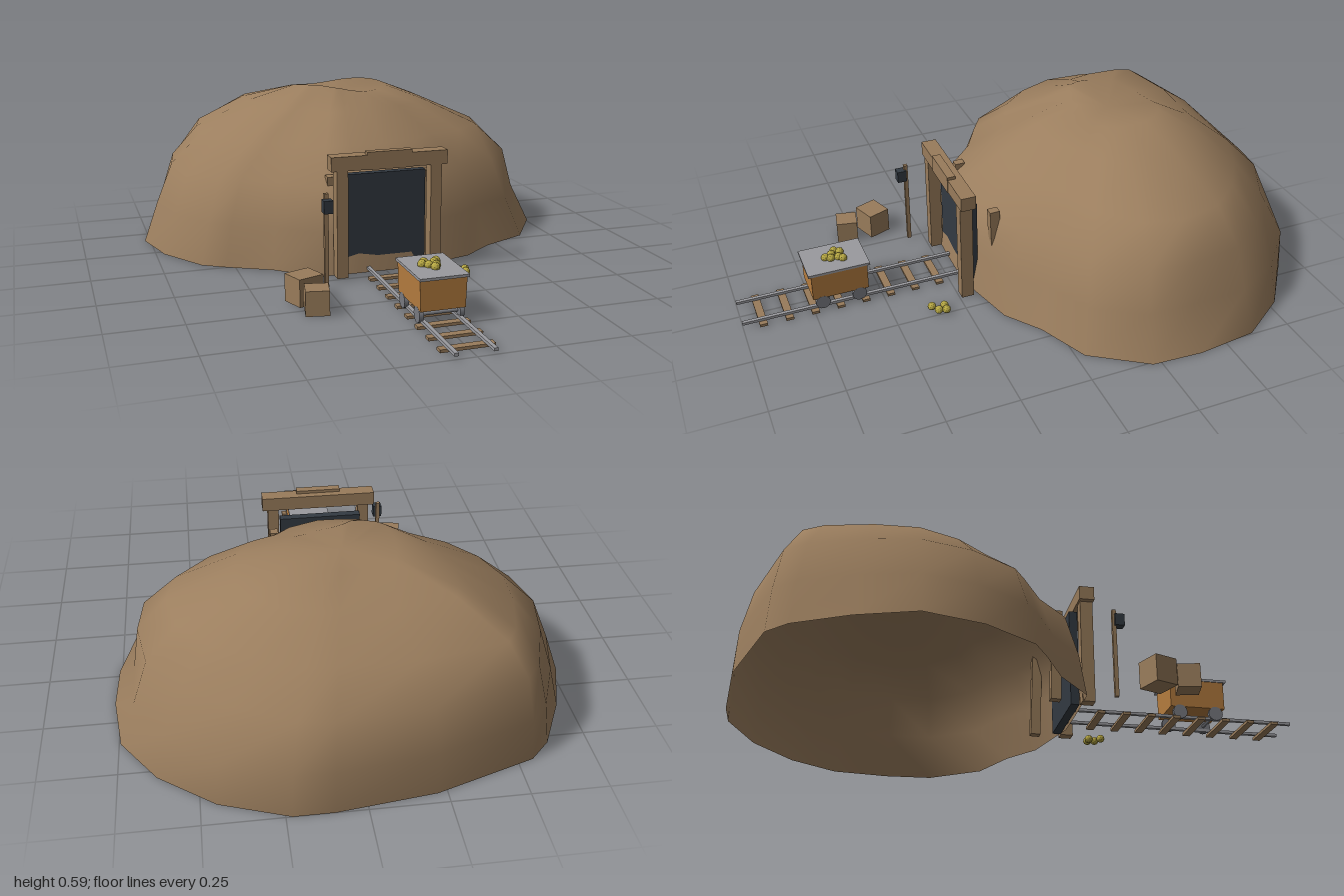
import * as THREE from 'three';

const mat = (name, color, extra = {}) => Object.assign(new THREE.MeshStandardMaterial({ color, ...extra }), { name });

export function createModel() {
  const rock = mat('rock', 0x9b7e5e, { side: THREE.DoubleSide });
  const wood = mat('wood', 0x997c5b);
  const dark = mat('dark iron', 0x333a42);
  const steel = mat('steel', 0x787a80);
  const light = mat('light steel', 0x9a9a9e);
  const orange = mat('cart panel', 0xb67d3f);
  const gold = mat('gold', 0xb5a642, { flatShading: true });

  const model = new THREE.Group();
  const group = (name, parent = model) => {
    const g = new THREE.Group();
    g.name = name;
    parent.add(g);
    return g;
  };
  const add = (parent, name, geometry, material, x, y, z) => {
    const m = new THREE.Mesh(geometry, material);
    m.name = name;
    m.position.set(x, y, z);
    parent.add(m);
    return m;
  };
  const box = (parent, name, material, w, h, d, x, y, z) =>
    add(parent, name, new THREE.BoxGeometry(w, h, d), material, x, y, z);

  // Hill: an irregular base outline shrunk ring by ring, open underneath
  const outline = [
    [-0.77, -0.41], [-0.71, -0.6], [-0.62, -0.78], [-0.55, -0.85], [-0.22, -0.96], [0.1, -1], [0.23, -1],
    [0.45, -0.92], [0.63, -0.78], [0.745, -0.61], [0.77, -0.4], [0.76, -0.22], [0.635, -0.03], [0.46, 0.05],
    [0.34, 0.14], [0.1, 0.205], [-0.1, 0.205], [-0.24, 0.2], [-0.38, 0.08], [-0.53, 0], [-0.61, -0.05], [-0.72, -0.22],
  ];
  // Height, then scale in eight directions: +x, front right, front, ... back right
  const rings = [
    [0, 1, 1, 1, 1, 1, 1, 1, 1],
    [0.15, 0.9, 0.92, 0.965, 0.96, 0.93, 0.99, 0.99, 0.98],
    [0.3, 0.87, 0.82, 0.915, 0.87, 0.85, 0.95, 0.92, 0.84],
    [0.41, 0.74, 0.62, 0.65, 0.64, 0.7, 0.85, 0.71, 0.69],
    [0.51, 0.45, 0.42, 0.45, 0.4, 0.42, 0.6, 0.48, 0.49],
    [0.59, 0.24, 0.22, 0.18, 0.24, 0.22, 0.27, 0.25, 0.28],
  ];
  const cz = -0.4, n = outline.length;
  const pos = [], index = [];
  rings.forEach(([y, ...scale], r) => {
    outline.forEach(([x, z], j) => {
      const a = Math.atan2(z - cz, x);
      const t = ((a / (Math.PI / 4)) + 8) % 8, k = Math.floor(t);
      const s = THREE.MathUtils.lerp(scale[k], scale[(k + 1) % 8], t - k);
      // The summit sags between a higher front peak and a lower back peak
      const sag = r === rings.length - 1 ? 0.025 * Math.cos(a - 0.96) ** 2 + 0.0075 * (1 + Math.cos(a + 0.61)) : 0;
      pos.push(x * s, y - sag, cz + (z - cz) * s);
      const p = r * n + j, q = r * n + ((j + 1) % n);
      if (r < rings.length - 1) index.push(p, p + n, q, q, p + n, q + n);
      else index.push(p, rings.length * n, q);
    });
  });
  pos.push(0, 0.55, cz);
  const hill = new THREE.BufferGeometry();
  hill.setAttribute('position', new THREE.Float32BufferAttribute(pos, 3));
  hill.setIndex(index);
  hill.computeVertexNormals();
  add(model, 'hill', hill, rock, 0, 0, 0);

  // Timber entrance with a dark opening and inner props
  const entrance = group('entrance');
  box(entrance, 'opening', dark, 0.3, 0.355, 0.03, -0.003, 0.1775, 0.18);
  for (const s of [-1, 1]) {
    box(entrance, 'post', wood, 0.04, 0.38, 0.045, s * 0.17, 0.19, 0.22);
    box(entrance, 'innerProp', wood, 0.03, 0.335, 0.036, s * 0.176, 0.168, 0.11).rotation.x = 0.03;
  }
  box(entrance, 'beam', wood, 0.42, 0.05, 0.054, 0, 0.405, 0.218);
  box(entrance, 'beamBlock', wood, 0.162, 0.062, 0.03, -0.002, 0.41, 0.232);

  // Track
  const track = group('track');
  for (let i = 0; i < 8; i++) box(track, 'tie', wood, 0.175, 0.01, 0.027, -0.004, 0.005, 0.29 + i * 0.0915);
  for (const s of [-1, 1]) box(track, 'rail', light, 0.013, 0.01, 0.8, s * 0.061 - 0.003, 0.015, 0.6);

  // Ore cart: the body narrows slightly to the bottom
  const cart = group('cart');
  cart.position.set(-0.004, 0, 0.65);
  const body = new THREE.BoxGeometry(0.155, 0.102, 0.2);
  const bp = body.attributes.position;
  for (let i = 0; i < bp.count; i++) if (bp.getY(i) < 0) bp.setX(i, bp.getX(i) * 0.95);
  body.computeVertexNormals();
  add(cart, 'body', body, orange, 0, 0.102, 0);
  box(cart, 'rim', light, 0.162, 0.009, 0.22, 0, 0.156, 0);
  const wheel = new THREE.CylinderGeometry(0.026, 0.026, 0.014, 16).rotateZ(Math.PI / 2);
  const axle = new THREE.CylinderGeometry(0.006, 0.006, 0.126, 8).rotateZ(Math.PI / 2);
  for (const z of [-0.066, 0.066]) {
    add(cart, 'axle', axle, steel, 0, 0.032, z);
    for (const x of [-0.067, 0.067]) add(cart, 'wheel', wheel, steel, x, 0.032, z);
  }

  // Gold nuggets in the cart and on the ground
  const nugget = new THREE.IcosahedronGeometry(0.015, 1);
  const nuggets = (parent, y, spots) => spots.forEach(([x, z], i) => {
    add(parent, 'nugget', nugget, gold, x, y, z).rotation.set(i, i * 2, i * 0.7);
  });
  nuggets(cart, 0.166, [[-0.03, -0.008], [-0.018, -0.026], [0.024, -0.028], [0.012, -0.015], [-0.012, 0.006], [0.01, 0.012], [0, 0.03]]);
  nuggets(group('groundGold'), 0.017, [[0.225, 0.322], [0.25, 0.322], [0.243, 0.348], [0.215, 0.365]]);

  // Lantern on a pole
  const lantern = group('lantern');
  lantern.position.set(-0.246, 0, 0.302);
  box(lantern, 'pole', wood, 0.014, 0.325, 0.014, 0, 0.1625, 0);
  box(lantern, 'lamp', dark, 0.032, 0.044, 0.034, 0, 0.285, 0.018);

  // Crates
  box(model, 'largeCrate', wood, 0.093, 0.094, 0.085, -0.354, 0.047, 0.415).rotation.y = 0.36;
  box(model, 'smallCrate', wood, 0.077, 0.083, 0.077, -0.34, 0.0415, 0.522).rotation.y = -0.2;

  return model;
}
